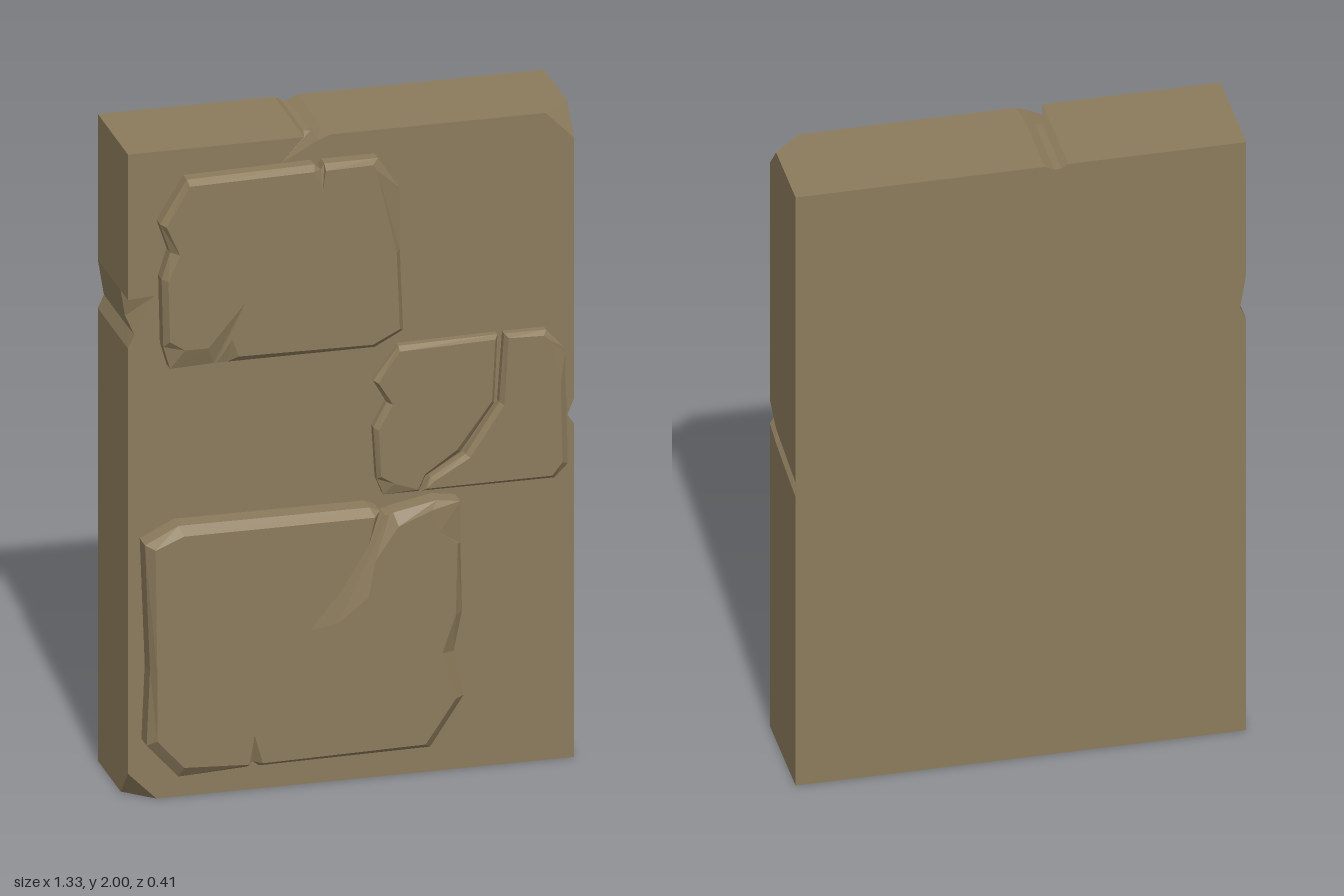
import * as THREE from 'three';

const rock = new THREE.MeshStandardMaterial({ color: 0x8c7b5c, flatShading: true });
rock.name = 'brown stone';

// Skin a stack of equal-length counter-clockwise outlines, capped at both ends.
// Each loop runs from back to front and holds [x, y, z] points.
function loft(name, loops) {
  const pos = [];
  const tri = (a, b, c) => pos.push(...a, ...b, ...c);
  for (let k = 0; k < loops.length - 1; k++) {
    const p = loops[k], q = loops[k + 1], n = p.length;
    for (let i = 0; i < n; i++) {
      const j = (i + 1) % n;
      tri(p[i], p[j], q[j]);
      tri(p[i], q[j], q[i]);
    }
  }
  const cap = (loop, front) => {
    const faces = THREE.ShapeUtils.triangulateShape(loop.map(([x, y]) => new THREE.Vector2(x, y)), []);
    for (const [i, j, k] of faces) {
      const [a, b, c] = [loop[i], loop[j], loop[k]];
      const ccw = (b[0] - a[0]) * (c[1] - a[1]) - (b[1] - a[1]) * (c[0] - a[0]) > 0;
      if (ccw === front) tri(a, b, c); else tri(a, c, b);
    }
  };
  cap(loops[0], false);
  cap(loops[loops.length - 1], true);
  const geo = new THREE.BufferGeometry();
  geo.setAttribute('position', new THREE.Float32BufferAttribute(pos, 3));
  geo.computeVertexNormals();
  const mesh = new THREE.Mesh(geo, rock);
  mesh.name = name;
  return mesh;
}

const at = (pts, z) => pts.map(([x, y]) => [x, y, z]);

// Raised stone: each point is [edge x, edge y, face x, face y]
function stone(name, pts, z, bevel) {
  const face = pts.map(p => [p[2], p[3]]);
  return loft(name, [at(pts, 0.115), at(pts, z - bevel), at(face, z)]);
}

export function createModel() {
  const group = new THREE.Group();
  group.name = 'stoneWallSlab';

  // Backing slab with two chipped corners and notches in three edges
  const front = [
    [-0.58, 0], [0.665, 0],
    [0.665, 1.03], [0.645, 1.06], [0.665, 1.11],
    [0.665, 1.915], [0.58, 2],
    [-0.06, 2], [-0.1, 1.985], [-0.21, 1.925], [-0.14, 2],
    [-0.665, 2], [-0.665, 1.55], [-0.585, 1.555], [-0.645, 1.44], [-0.665, 1.4],
    [-0.665, 0.085]];
  const middle = [
    [-0.665, 0], [0.665, 0],
    [0.665, 1.01], [0.65, 1.03], [0.665, 1.06],
    [0.665, 2], [0.665, 2],
    [-0.07, 2], [-0.1, 1.985], [-0.12, 1.988], [-0.14, 2],
    [-0.665, 2], [-0.665, 1.55], [-0.652, 1.47], [-0.647, 1.44], [-0.665, 1.4],
    [-0.665, 0]];
  const back = middle.map(([x, y], i) => (i > 1 && i < 5 ? [x, y - 0.03] : [x, y]));
  group.add(loft('backingSlab', [at(back, -0.21), at(middle, 0.04), at(front, 0.12)]));

  // Upper stone
  group.add(stone('upperStone', [
    [-0.57, 1.41, -0.555, 1.43], [-0.55, 1.34, -0.51, 1.4], [-0.42, 1.345, -0.44, 1.4],
    [-0.41, 1.345, -0.33, 1.53], [-0.38, 1.345, -0.37, 1.42], [-0.34, 1.345, -0.35, 1.365],
    [0.06, 1.345, 0.05, 1.36], [0.145, 1.39, 0.13, 1.4], [0.135, 1.64, 0.12, 1.64],
    [0.135, 1.83, 0.06, 1.9], [0.07, 1.928, 0.05, 1.915],
    [-0.09, 1.928, -0.09, 1.912], [-0.1, 1.91, -0.1, 1.85], [-0.12, 1.928, -0.125, 1.912],
    [-0.5, 1.92, -0.495, 1.905], [-0.58, 1.79, -0.565, 1.785],
    [-0.55, 1.7, -0.525, 1.695], [-0.575, 1.62, -0.56, 1.615]], 0.178, 0.02));

  // Middle stone, split in two by a winding crack
  group.add(stone('middleStoneLeft', [
    [0.07, 0.93, 0.08, 0.94], [0.09, 0.88, 0.12, 0.915], [0.195, 0.88, 0.19, 0.89],
    [0.215, 0.925, 0.21, 0.935], [0.32, 0.99, 0.305, 1.0], [0.42, 1.13, 0.41, 1.14],
    [0.43, 1.34, 0.42, 1.33], [0.135, 1.335, 0.135, 1.322], [0.06, 1.235, 0.072, 1.23],
    [0.1, 1.165, 0.115, 1.16], [0.06, 1.09, 0.073, 1.085]], 0.158, 0.015));
  group.add(stone('middleStoneRight', [
    [0.205, 0.88, 0.215, 0.89], [0.6, 0.88, 0.59, 0.892], [0.64, 0.92, 0.62, 0.93],
    [0.632, 1.26, 0.615, 1.18], [0.63, 1.28, 0.585, 1.31], [0.575, 1.34, 0.565, 1.327],
    [0.45, 1.34, 0.46, 1.33], [0.435, 1.13, 0.447, 1.125], [0.335, 0.98, 0.345, 0.972],
    [0.23, 0.918, 0.24, 0.912]], 0.158, 0.015));

  // Lower stone, with a long gouge running in from its top edge
  group.add(stone('lowerStone', [
    [-0.625, 0.19, -0.6, 0.21], [-0.53, 0.085, -0.52, 0.12], [-0.325, 0.095, -0.325, 0.11],
    [-0.31, 0.11, -0.31, 0.2], [-0.29, 0.095, -0.285, 0.11],
    [0.22, 0.1, 0.2, 0.118], [0.32, 0.25, 0.29, 0.25], [0.29, 0.39, 0.25, 0.395],
    [0.315, 0.51, 0.29, 0.51], [0.31, 0.72, 0.295, 0.73], [0.31, 0.85, 0.24, 0.77],
    [0.24, 0.86, 0.22, 0.84], [0.11, 0.835, 0.12, 0.8],
    [0.1, 0.83, 0.05, 0.7], [0.095, 0.83, 0.03, 0.59], [0.09, 0.83, -0.06, 0.52],
    [0.085, 0.83, -0.145, 0.505], [0.08, 0.835, -0.05, 0.62], [0.07, 0.845, 0.03, 0.75],
    [0.04, 0.858, 0.05, 0.835],
    [-0.53, 0.86, -0.52, 0.835], [-0.63, 0.81, -0.605, 0.8], [-0.615, 0.42, -0.6, 0.42]], 0.203, 0.025));

  return group;
}
